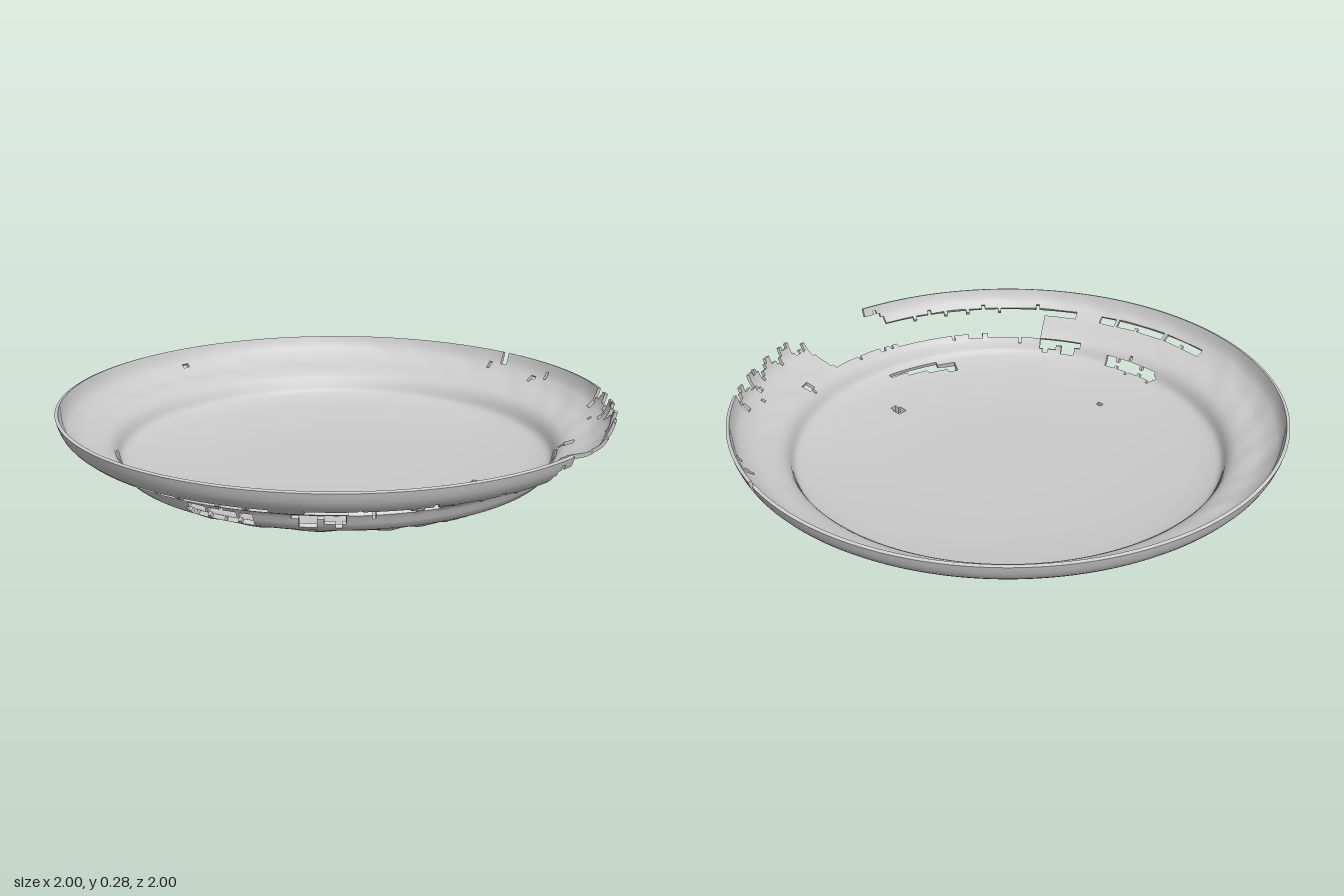
import * as THREE from 'three';

const RINGS = 62, SEGS = 440;

// Half-section of the underside: radius, height
const PROFILE = [[0, 0.012], [0.4, 0.02], [0.65, 0.042], [0.76, 0.066], [0.793, 0.092], [0.81, 0.132],
  [0.85, 0.155], [0.92, 0.177], [0.97, 0.212], [0.99, 0.243], [1, 0.275]];

// Small pinholes: x, z, radius
const PINHOLES = [[0.83, -0.04, 0.022], [0.44, -0.85, 0.012], [0.505, -0.84, 0.011], [0.63, -0.71, 0.012],
  [0.69, -0.68, 0.01], [0.88, -0.48, 0.015], [0.885, -0.36, 0.014], [0.89, -0.25, 0.009],
  [0.93, -0.22, 0.014], [0.54, 0.13, 0.022], [-0.15, 0.52, 0.014], [-0.78, -0.55, 0.012]];

const lerp = THREE.MathUtils.lerp;

// True where the plate has broken away (seen from above)
function isBroken(x, z) {
  const r = Math.hypot(x, z);
  const a = THREE.MathUtils.radToDeg(Math.atan2(z, x));
  const n = 0.005 * Math.sin(a * 0.9) + 0.003 * Math.sin(a * 2.3 + 1);
  const band = (a0, a1, r0, r1) => a > a0 && a < a1 && r > r0 + n && r < r1 - n * 0.7;
  // large missing piece, with the outer lip surviving as a thin strip
  if (z > 0.14 && a < 75.5) {
    const inner = lerp(0.84, 0.797, (a - 9) / 65);
    const lip = a < 27 ? 2 : a < 32 ? 0.975 : 0.948;
    const ledge = a > 74 && r > 0.81 && r < 0.92;
    if (a > 0 && r > inner + n && r < lip + n && !ledge) return true;
  }
  // nibbled lip
  if (a > -23 && z <= 0.14 && a < 12 && r > 0.98 + 2.2 * n - Math.max(0, a) * 0.0015) return true;
  // slots along the foot of the wall and under the lip
  if (band(74, 86, 0.782, 0.806) || band(94.5, 113, 0.768, 0.79)) return true;
  if (band(75, 82, 0.92, 0.95) || band(88, 119, 0.922, 0.946)) return true;
  // slanted tear at the floor's edge
  const t = (a - 24) / 23;
  if (t > 0 && t < 1 && Math.abs(r - lerp(0.755, 0.715, t)) < lerp(0.007, 0.027, t)) return true;
  return PINHOLES.some(([px, pz, s]) => Math.hypot(x - px, z - pz) < s);
}

// Staggered woven strokes on the underside, 0 to 1
function weave(x, z) {
  const row = (z + 0.018 * Math.sin(x * 7) + 0.012 * Math.sin(x * 17 + z * 5)) / 0.078;
  const k = Math.floor(row);
  const across = Math.sin(Math.PI * (row - k));
  const along = 0.5 + 0.5 * Math.sin(x * 33 + k * 2.6 + Math.sin(k * 4.1) + 14 * (z - k * 0.078));
  return across * along;
}

function meshFrom(name, positions, indices, material) {
  const g = new THREE.BufferGeometry();
  g.setAttribute('position', new THREE.Float32BufferAttribute(positions, 3));
  g.setIndex(indices);
  g.computeVertexNormals();
  const mesh = new THREE.Mesh(g, material);
  mesh.name = name;
  return mesh;
}

export function createModel() {
  const group = new THREE.Group();
  group.name = 'brokenPlate';
  const material = new THREE.MeshStandardMaterial({ color: 0xcccccc, roughness: 0.8 });
  const curve = new THREE.SplineCurve(PROFILE.map(p => new THREE.Vector2(...p)));

  // Sweep the section into an upper and a lower skin
  const top = [], under = [];
  for (let j = 0; j <= RINGS; j++) {
    const u = j / RINGS, p = curve.getPointAt(u), t = curve.getTangentAt(u);
    const thick = lerp(0.024, 0.012, u);
    for (let i = 0; i < SEGS; i++) {
      const a = i / SEGS * Math.PI * 2, c = Math.cos(a), s = Math.sin(a);
      const x = p.x * c, z = p.x * s;
      const fade = THREE.MathUtils.smoothstep(0.77 - p.x, 0, 0.06);
      under.push(x, p.y - 0.013 * fade * weave(x, z), z);
      // gentle hand-made unevenness on the rim
      const lump = p.x > 0.83 && j < RINGS ? 0.002 * Math.sin(a * 23 + p.x * 40) * Math.sin(a * 9) : 0;
      const r = j === 0 ? 0 : Math.max(0, p.x - t.y * thick);
      top.push(r * c, p.y + t.x * thick + lump, r * s);
    }
  }

  const id = (j, i) => j * SEGS + (i + SEGS) % SEGS;
  const at = (arr, k) => arr.slice(k * 3, k * 3 + 3);

  // Decide which cells survive
  const kept = [];
  for (let j = 0; j < RINGS; j++) {
    for (let i = 0; i < SEGS; i++) {
      const a = (i + 0.5) / SEGS * Math.PI * 2;
      const p = at(top, id(j, i)), q = at(top, id(j + 1, i));
      const r = (Math.hypot(p[0], p[2]) + Math.hypot(q[0], q[2])) / 2;
      kept.push(!isBroken(r * Math.cos(a), r * Math.sin(a)));
    }
  }
  const has = (j, i) => j < 0 || (j < RINGS && kept[id(j, i)]);

  // Fill both skins and close every broken edge with a wall
  const topIdx = [], underIdx = [], edge = [], edgeIdx = [];
  const wall = (p, q) => {
    const k = edge.length / 3;
    edge.push(...at(top, p), ...at(top, q), ...at(under, p), ...at(under, q));
    edgeIdx.push(k + 1, k, k + 2, k + 1, k + 2, k + 3);
  };
  for (let j = 0; j < RINGS; j++) {
    for (let i = 0; i < SEGS; i++) {
      if (!has(j, i)) continue;
      const a = id(j, i), b = id(j, i + 1), c = id(j + 1, i + 1), d = id(j + 1, i);
      topIdx.push(b, c, d);
      underIdx.push(d, c, b);
      if (j > 0) {
        topIdx.push(a, b, d);
        underIdx.push(d, b, a);
      }
      if (!has(j - 1, i)) wall(a, b);
      if (!has(j, i + 1)) wall(b, c);
      if (!has(j + 1, i)) wall(c, d);
      if (!has(j, i - 1)) wall(d, a);
    }
  }

  group.add(
    meshFrom('upperSurface', top, topIdx, material),
    meshFrom('wovenUnderside', under, underIdx, material),
    meshFrom('rimAndBrokenEdges', edge, edgeIdx, material)
  );
  return group;
}
